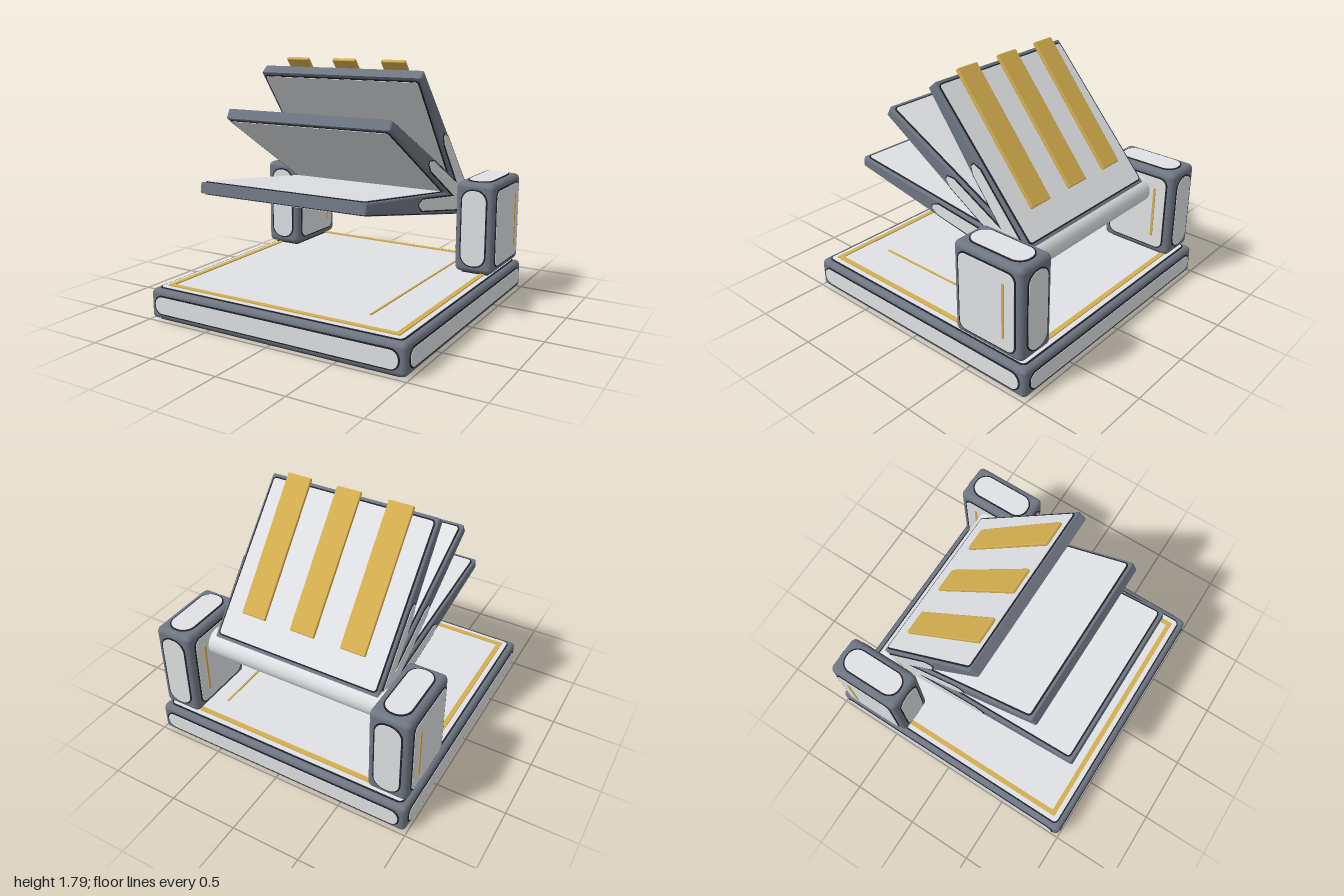
import * as THREE from 'three';
import { RoundedBoxGeometry } from 'three/addons/geometries/RoundedBoxGeometry.js';

const mat = (name, color) => Object.assign(new THREE.MeshStandardMaterial({ color }), { name });
const slate = mat('slate frame', 0x6f7682);
const white = mat('white panel', 0xdfe1e4);
const dark = mat('dark trim', 0x1f2228);
const gold = mat('gold', 0xd4ae4e);

function add(parent, name, geometry, material, x = 0, y = 0, z = 0) {
  const mesh = new THREE.Mesh(geometry, material);
  mesh.name = name;
  mesh.position.set(x, y, z);
  parent.add(mesh);
  return mesh;
}

const extrude = (shape, depth) =>
  new THREE.ExtrudeGeometry(shape, { depth, bevelEnabled: false, curveSegments: 6 });

function roundedRect(w, h, r) {
  const s = new THREE.Shape(), a = w / 2, b = h / 2;
  s.absarc(a - r, b - r, r, 0, Math.PI / 2);
  s.absarc(-a + r, b - r, r, Math.PI / 2, Math.PI);
  s.absarc(-a + r, -b + r, r, Math.PI, Math.PI * 1.5);
  s.absarc(a - r, -b + r, r, Math.PI * 1.5, Math.PI * 2);
  s.closePath();
  return s;
}

// White inset plate with a thin dark outline, facing local +z
function inset(parent, name, w, h, r, position, rotation) {
  const g = new THREE.Group();
  g.name = name;
  g.position.set(...position);
  g.rotation.set(...rotation, 'ZYX');
  add(g, 'insetOutline', extrude(roundedRect(w + 0.02, h + 0.02, r + 0.01), 0.006), dark);
  add(g, 'insetPlate', extrude(roundedRect(w, h, r), 0.009), white);
  parent.add(g);
}

// Insets on the four upright sides of a box
function sideInsets(parent, halfX, halfZ, wX, wZ, h, rX, rZ) {
  for (const s of [1, -1]) {
    inset(parent, 'endInset', wX, h, rX, [0, 0, s * halfZ], [0, s > 0 ? 0 : Math.PI, 0]);
    inset(parent, 'sideInset', wZ, h, rZ, [s * halfX, 0, 0], [0, s * Math.PI / 2, 0]);
  }
}

function createBase() {
  const g = new THREE.Group();
  g.name = 'base';
  g.position.y = 0.1175;
  add(g, 'baseBody', new RoundedBoxGeometry(1.98, 0.215, 1.98, 3, 0.035), slate);
  sideInsets(g, 0.99, 0.99, 1.88, 1.88, 0.12, 0.055, 0.055);
  inset(g, 'baseTopInset', 1.88, 1.88, 0.03, [0, 0.1075, 0], [-Math.PI / 2, 0, 0]);
  inset(g, 'baseBottomInset', 1.9, 1.9, 0.03, [0, -0.1075, 0], [Math.PI / 2, 0, 0]);
  // Gold border and single inlaid line
  const ring = roundedRect(1.81, 1.81, 0.005);
  ring.holes.push(roundedRect(1.74, 1.74, 0.005));
  add(g, 'goldBorder', extrude(ring, 0.008), gold, 0, 0.1155, 0).rotation.x = -Math.PI / 2;
  add(g, 'goldLine', new THREE.BoxGeometry(0.014, 0.008, 1.42), gold, 0.59, 0.1195, -0.02);
  return g;
}

function createPost(x) {
  const g = new THREE.Group();
  g.name = 'post';
  g.position.set(x, 0.582, -0.67);
  add(g, 'postBody', new RoundedBoxGeometry(0.29, 0.666, 0.56, 3, 0.04), slate);
  add(g, 'postFoot', new THREE.BoxGeometry(0.2, 0.02, 0.46), dark, 0, -0.34, 0);
  sideInsets(g, 0.145, 0.28, 0.18, 0.45, 0.555, 0.08, 0.05);
  inset(g, 'postTopInset', 0.175, 0.45, 0.08, [0, 0.333, 0], [-Math.PI / 2, 0, 0]);
  for (const s of [1, -1])
    add(g, 'postGoldLine', new THREE.BoxGeometry(0.008, 0.39, 0.018), gold, s * 0.155, 0, -0.14);
  return g;
}

// Tapered leaf: local x runs from hinge to tip, y is its thickness, z its width
const ROOT = 0.085, ROOT_HALF = 0.086, TIP_HALF = 0.037, HALF_WIDTH = 0.64;

function createLeaf(angle, length, decalTip) {
  const g = new THREE.Group();
  g.name = 'leaf';
  g.position.set(0, 0.7, -0.715);
  g.rotation.set(-angle, -Math.PI / 2, 0);

  const b = 0.016;
  const profile = new THREE.Shape([
    [ROOT + b, -ROOT_HALF + b], [length - b, -TIP_HALF + b],
    [length - b, TIP_HALF - b], [ROOT + b, ROOT_HALF - b],
  ].map(p => new THREE.Vector2(...p)));
  const body = new THREE.ExtrudeGeometry(profile, {
    depth: 2 * (HALF_WIDTH - b), bevelSize: b, bevelThickness: b, bevelSegments: 3,
  });
  add(g, 'leafBody', body, slate, 0, 0, -HALF_WIDTH + b);

  // Large faces above and below, following the taper
  const tilt = Math.atan((ROOT_HALF - TIP_HALF) / (length - ROOT));
  const mid = (ROOT + length) / 2, half = (ROOT_HALF + TIP_HALF) / 2;
  for (const s of [1, -1]) {
    inset(g, 'leafInset', length - ROOT - 0.06, 2 * HALF_WIDTH - 0.06, 0.02,
      [mid, s * half, 0], [-s * Math.PI / 2, 0, -s * tilt]);
  }

  // Pointed plates on both edges
  const pointed = e => new THREE.Shape([
    [0.14 - e, -0.052 - e], [decalTip - 0.05, -0.038 - e], [decalTip + e, -0.012],
    [decalTip + e, 0.012], [decalTip - 0.05, 0.038 + e], [0.14 - e, 0.052 + e],
  ].map(p => new THREE.Vector2(...p)));
  for (const s of [1, -1]) {
    const put = (name, e, d, m) =>
      add(g, name, extrude(pointed(e), d), m, 0, 0, s > 0 ? HALF_WIDTH : -HALF_WIDTH - d);
    put('edgeOutline', 0.009, 0.006, dark);
    put('edgePlate', 0, 0.009, white);
  }
  return g;
}

export function createModel() {
  const model = new THREE.Group();
  model.name = 'foldingLeafStand';
  model.add(createBase(), createPost(0.83), createPost(-0.83));

  // Hinge barrel between the posts
  add(model, 'hingeBarrel', new THREE.CylinderGeometry(0.1, 0.1, 1.4, 32), white, 0, 0.735, -0.67)
    .rotation.z = Math.PI / 2;

  // Three fanned leaves: angle in degrees, length, end of edge plate
  const leaves = [[9.1, 1.575, 0.85], [29.9, 1.438, 0.795], [50.9, 1.29, 0.72]]
    .map(([a, l, d]) => createLeaf(THREE.MathUtils.degToRad(a), l, d));
  model.add(...leaves);

  // Gold bars on the top leaf
  for (const x of [-0.385, 0, 0.385])
    add(leaves[2], 'goldBar', new RoundedBoxGeometry(1.01, 0.026, 0.185, 2, 0.008), gold, 0.805, 0.105, x);
  return model;
}
